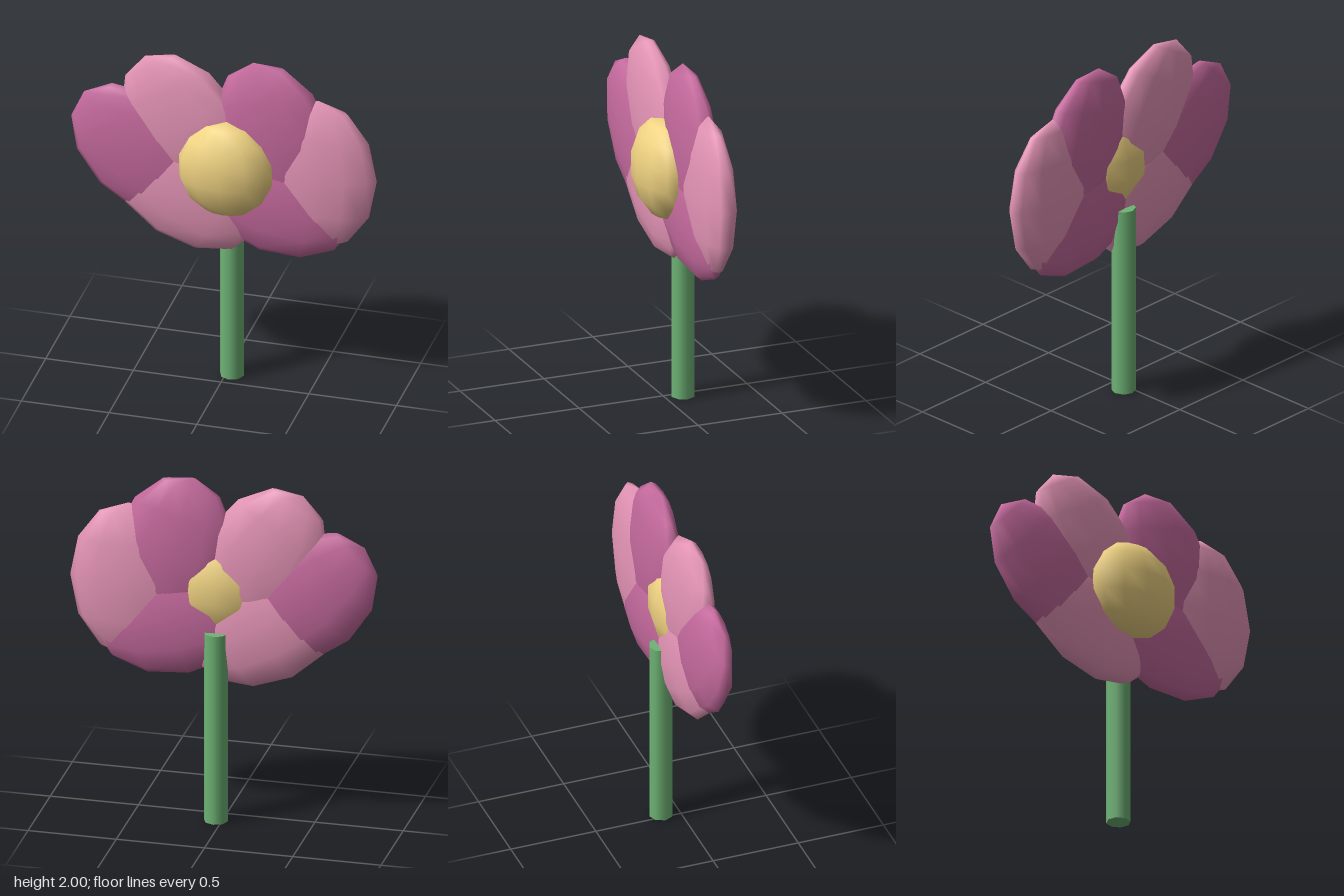
import * as THREE from 'three';

const paint = (color) => new THREE.MeshStandardMaterial({ color });

export function createModel() {
  const flower = new THREE.Group();
  flower.name = 'flower';

  const add = (parent, name, geometry, material, x, y, z) => {
    const mesh = new THREE.Mesh(geometry, material);
    mesh.name = name;
    mesh.position.set(x, y, z);
    parent.add(mesh);
    return mesh;
  };

  // Stem, set behind the petals
  add(flower, 'stem', new THREE.CylinderGeometry(0.068, 0.068, 1.12, 8), paint(0x6fb476), 0.034, 0.56, -0.105);

  // Six flattened petals in a ring, each turned 15 degrees further than the last
  const petals = new THREE.Group();
  petals.name = 'petals';
  flower.add(petals);
  const petalShape = new THREE.SphereGeometry(1, 12, 6).scale(0.333, 0.46, 0.094);
  const pinks = [paint(0xe796b8), paint(0xc76b9f)];
  for (let i = 0; i < 6; i++) {
    const angle = (i * Math.PI) / 3;
    const petal = add(petals, `petal${i + 1}`, petalShape, pinks[i % 2],
      0.037 + 0.505 * Math.cos(angle), 1.36 + 0.231 * Math.sin(angle), -0.046);
    petal.rotation.z = (i * Math.PI) / 12;
  }

  // Domed yellow centre
  add(flower, 'flowerCentre', new THREE.SphereGeometry(1, 12, 7).scale(0.283, 0.288, 0.165),
    paint(0xf0d382), 0.035, 1.353, 0.01);

  return flower;
}
